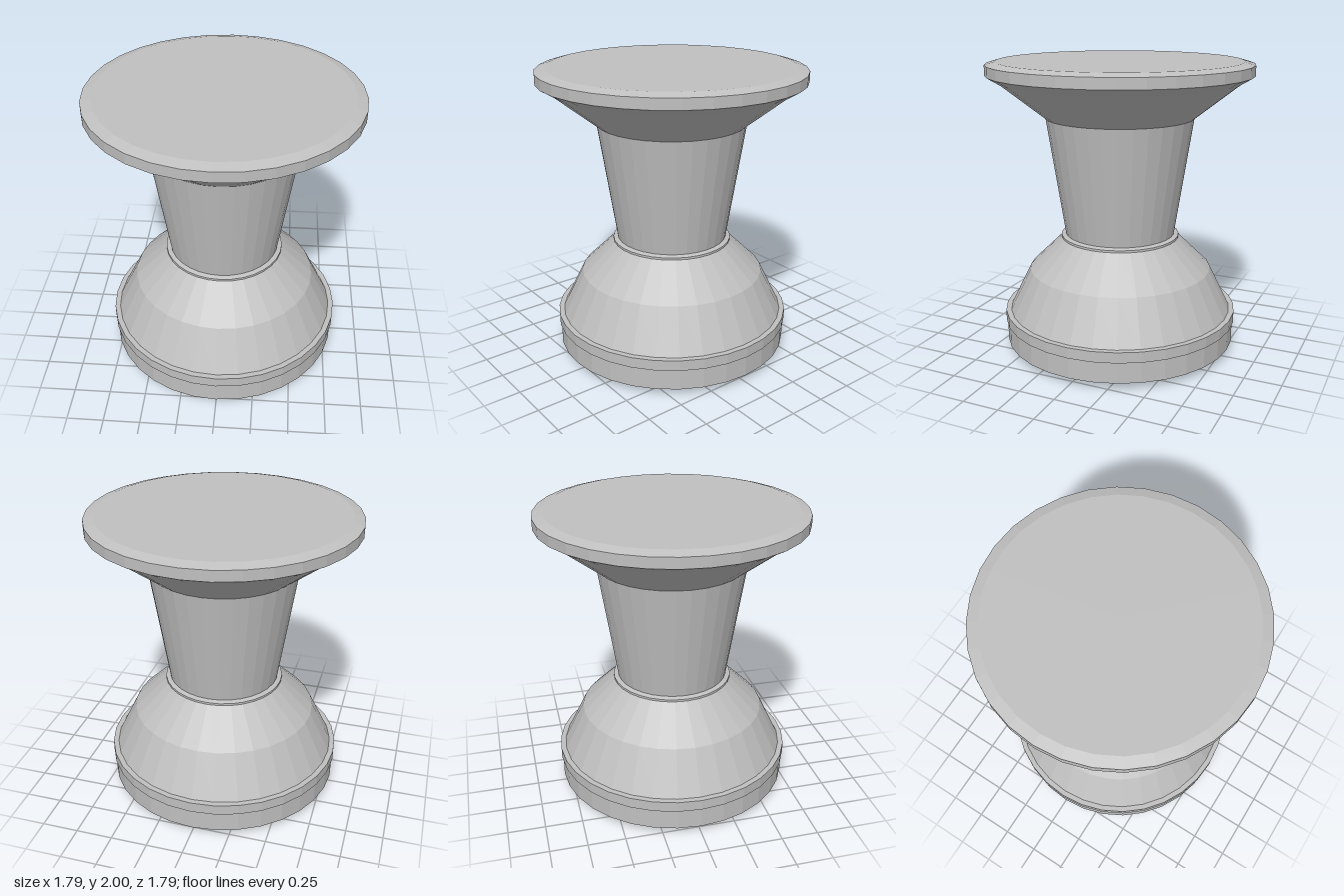
import * as THREE from 'three';

const SIDES = 32;

// Turned part from [radius, height] pairs, listed bottom to top
function turned(name, profile, material) {
  const points = profile.map(([r, y]) => new THREE.Vector2(r, y));
  const mesh = new THREE.Mesh(new THREE.LatheGeometry(points, SIDES), material);
  mesh.name = name;
  return mesh;
}

export function createModel() {
  const model = new THREE.Group();
  model.name = 'knob';

  const grey = new THREE.MeshStandardMaterial({
    color: 0xc0c0c0, flatShading: true, side: THREE.DoubleSide,
  });
  grey.name = 'plainGrey';

  // Hollow base, open underneath: straight skirt, then a domed shoulder
  model.add(turned('baseShell', [
    [0.805, 0.05], [0.805, 0.265], [0.78, 0.265], [0.635, 0.56], [0.4, 0.79],
  ], grey));

  // Thin raised band around the top of the skirt
  model.add(turned('baseBand', [
    [0.805, 0.195], [0.815, 0.195], [0.815, 0.268], [0.775, 0.268],
  ], grey));

  // Small collar where the shaft leaves the base
  model.add(turned('collar', [
    [0.39, 0.785], [0.41, 0.785], [0.41, 0.8], [0.38, 0.81],
  ], grey));

  // Tapered shaft, carried down inside the base to hold the peg
  model.add(turned('shaft', [
    [0, 0.42], [0.32, 0.42], [0.38, 0.81], [0.505, 1.62],
  ], grey));

  // Flared head with bevelled rim and flat top
  model.add(turned('head', [
    [0.505, 1.62], [0.81, 1.86], [0.895, 1.91], [0.895, 1.98], [0.825, 2], [0, 2],
  ], grey));

  // Square peg under the base
  const peg = new THREE.Mesh(new THREE.BoxGeometry(0.42, 0.42, 0.42), grey);
  peg.name = 'squarePeg';
  peg.position.y = 0.21;
  model.add(peg);

  return model;
}
